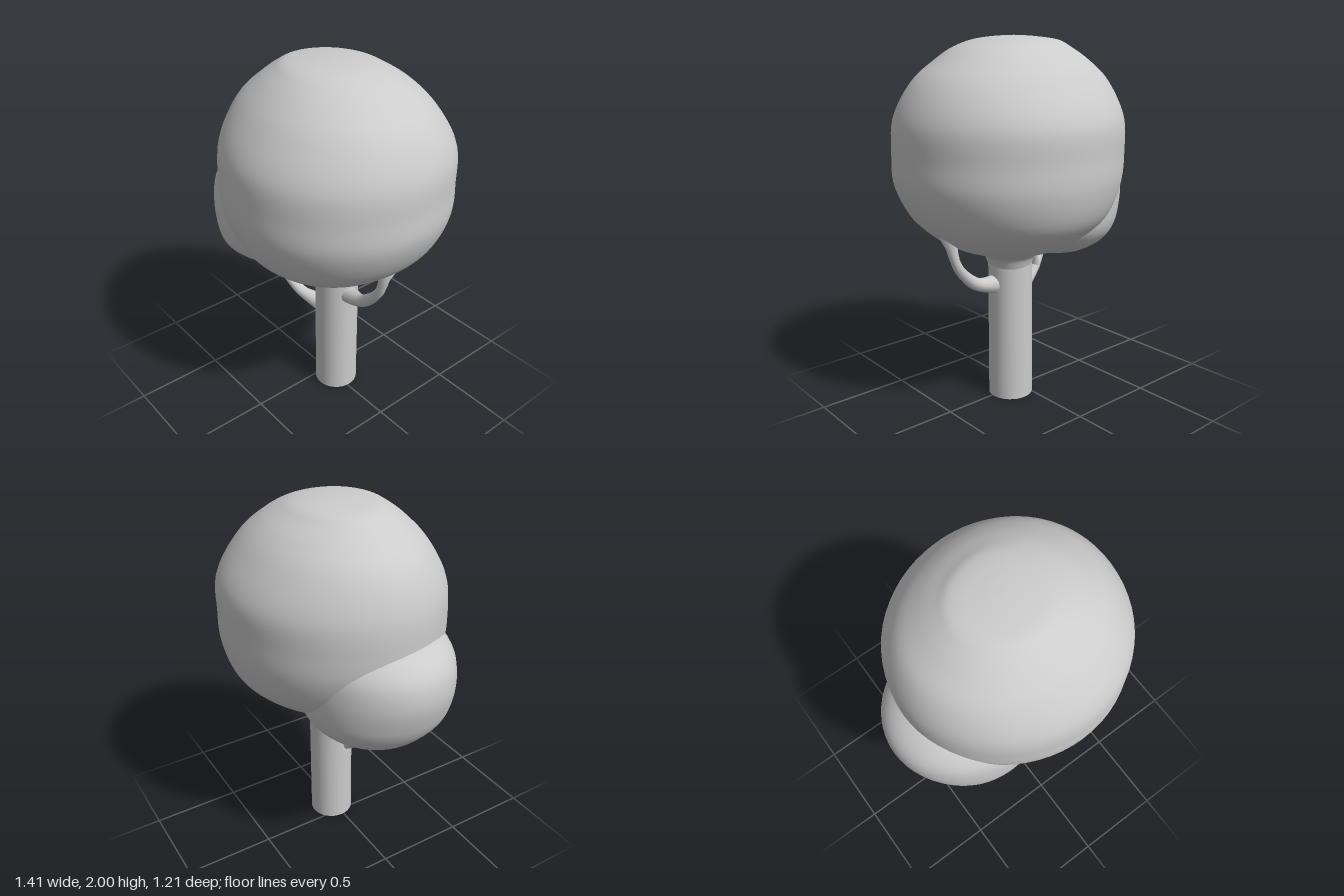
import * as THREE from 'three';

const material = new THREE.MeshStandardMaterial({ color: 0xcccccc });

function addMesh(group, name, geometry) {
  const mesh = new THREE.Mesh(geometry, material);
  mesh.name = name;
  group.add(mesh);
  return mesh;
}

// Smooth closed body from oval cross-sections, top to bottom: [y, centreX, radiusX, centreZ, radiusZ]
// skew shifts the widest part of each oval towards +x
function sectionBody(rows, rings, sides, skew) {
  const a = new THREE.CatmullRomCurve3(rows.map(r => new THREE.Vector3(r[1], r[0], r[3])), false, 'centripetal');
  const b = new THREE.CatmullRomCurve3(rows.map(r => new THREE.Vector3(r[2], r[0], r[4])), false, 'centripetal');
  const positions = [], index = [];
  for (let i = 0; i <= rings; i++) {
    const r = b.getPoint(i / rings), c = a.getPoint(i / rings);
    for (let j = 0; j < sides; j++) {
      const angle = (j / sides) * Math.PI * 2;
      const cos = Math.cos(angle), sin = Math.sin(angle);
      positions.push(c.x + (cos + skew * sin * sin) * Math.max(r.x, 0), r.y, c.z + sin * Math.max(r.z, 0));
      if (i < rings) {
        const k = (j + 1) % sides, p = i * sides, q = p + sides;
        index.push(p + j, p + k, q + j, p + k, q + k, q + j);
      }
    }
  }
  const geometry = new THREE.BufferGeometry();
  geometry.setAttribute('position', new THREE.Float32BufferAttribute(positions, 3));
  geometry.setIndex(index);
  geometry.computeVertexNormals();
  return geometry;
}

// Tube whose radius follows a list of values along its path
function taperedTube(points, radii) {
  const path = new THREE.CatmullRomCurve3(points.map(p => new THREE.Vector3(...p)));
  const steps = 32, sides = 12;
  const geometry = new THREE.TubeGeometry(path, steps, 1, sides);
  const position = geometry.attributes.position;
  const v = new THREE.Vector3();
  for (let i = 0; i <= steps; i++) {
    const centre = path.getPointAt(i / steps);
    const f = (i / steps) * (radii.length - 1);
    const k = Math.min(Math.floor(f), radii.length - 2);
    const radius = THREE.MathUtils.lerp(radii[k], radii[k + 1], f - k);
    for (let j = 0; j <= sides; j++) {
      const n = i * (sides + 1) + j;
      v.fromBufferAttribute(position, n).sub(centre).multiplyScalar(radius).add(centre);
      position.setXYZ(n, v.x, v.y, v.z);
    }
  }
  return geometry;
}

export function createModel() {
  const tree = new THREE.Group();
  tree.name = 'tree';

  // Main crown, narrowing into the trunk at the bottom
  addMesh(tree, 'crown', sectionBody([
    [2.0, 0.04, 0, 0, 0],
    [1.995, 0.04, 0.1, 0, 0.1],
    [1.975, 0.03, 0.24, 0, 0.22],
    [1.94, 0.045, 0.325, 0, 0.285],
    [1.88, 0.05, 0.415, -0.005, 0.37],
    [1.77, 0.055, 0.54, -0.005, 0.475],
    [1.58, 0.065, 0.625, -0.005, 0.588],
    [1.4, 0.065, 0.635, 0, 0.602],
    [1.25, 0.07, 0.625, 0, 0.598],
    [1.08, 0.07, 0.55, -0.005, 0.54],
    [0.97, 0.07, 0.44, 0, 0.44],
    [0.905, 0.075, 0.335, 0, 0.335],
    [0.86, 0.08, 0.215, -0.005, 0.215],
    [0.825, 0.08, 0.145, -0.01, 0.145],
    [0.77, 0.08, 0.12, -0.013, 0.12],
  ], 72, 64, 0.04));

  // Smaller, flat-bottomed lobe of foliage on the right
  addMesh(tree, 'sideLobe', sectionBody([
    [1.47, -0.15, 0, 0.06, 0],
    [1.44, -0.15, 0.2, 0.06, 0.17],
    [1.38, -0.18, 0.39, 0.06, 0.32],
    [1.28, -0.2, 0.48, 0.06, 0.4],
    [1.15, -0.22, 0.485, 0.06, 0.42],
    [1.0, -0.25, 0.422, 0.06, 0.41],
    [0.93, -0.265, 0.375, 0.06, 0.385],
    [0.87, -0.28, 0.315, 0.05, 0.325],
    [0.83, -0.295, 0.255, 0.045, 0.26],
    [0.8, -0.3, 0.2, 0.05, 0.21],
    [0.78, -0.315, 0.13, 0.06, 0.15],
    [0.765, -0.33, 0.06, 0.07, 0.07],
    [0.76, -0.335, 0, 0.07, 0],
  ], 60, 56, 0));

  // Trunk
  const trunk = addMesh(tree, 'trunk', new THREE.CylinderGeometry(0.122, 0.124, 0.9, 32));
  trunk.position.set(0.08, 0.45, -0.013);

  // Branches, flared where they meet the trunk and the foliage
  addMesh(tree, 'leftBranch', taperedTube(
    [[0.14, 0.67, -0.01], [0.24, 0.675, -0.005], [0.31, 0.695, 0], [0.38, 0.75, 0], [0.435, 0.82, -0.005], [0.465, 0.91, -0.005], [0.475, 1.0, -0.005]],
    [0.06, 0.048, 0.036, 0.033, 0.028, 0.025, 0.03, 0.065]));
  addMesh(tree, 'rightBranch', taperedTube(
    [[0.06, 0.5, 0], [-0.03, 0.535, 0.05], [-0.12, 0.57, 0.09], [-0.22, 0.65, 0.118], [-0.3, 0.74, 0.155], [-0.34, 0.82, 0.18]],
    [0.06, 0.05, 0.034, 0.03, 0.028, 0.026, 0.05]));
  addMesh(tree, 'rightTwig', taperedTube(
    [[-0.23, 0.65, 0.118], [-0.225, 0.7, 0.115], [-0.215, 0.75, 0.11], [-0.2, 0.82, 0.105]],
    [0.026, 0.019, 0.018, 0.05]));

  return tree;
}
